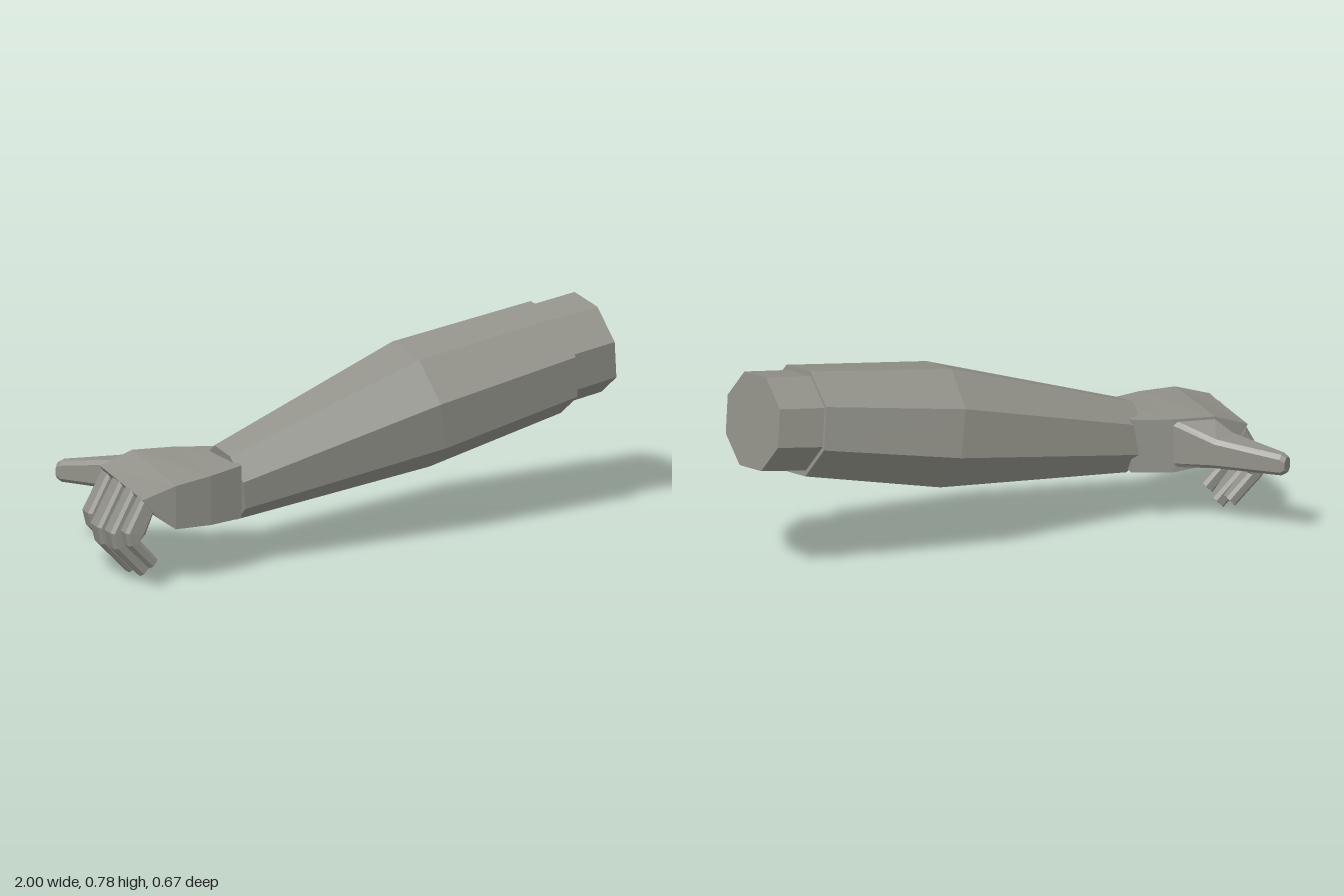
import * as THREE from 'three';

const grey = new THREE.MeshStandardMaterial({ color: 0x92928a, flatShading: true });
grey.name = 'warm grey';

// Closed faceted solid through rings of [x, y, z] points, capped at both ends
function loft(name, rings) {
  const tris = [];
  const n = rings[0].length;
  for (let i = 0; i < rings.length - 1; i++) {
    for (let j = 0; j < n; j++) {
      const k = (j + 1) % n;
      const a = rings[i][j], b = rings[i][k], c = rings[i + 1][k], d = rings[i + 1][j];
      tris.push([a, b, c], [a, c, d]);
    }
  }
  const last = rings[rings.length - 1];
  for (let j = 1; j < n - 1; j++) {
    tris.push([rings[0][0], rings[0][j + 1], rings[0][j]]);
    tris.push([last[0], last[j], last[j + 1]]);
  }
  // Turn all faces outward using the sign of the enclosed volume
  const v = (p) => new THREE.Vector3(...p);
  let volume = 0;
  for (const [a, b, c] of tris) volume += v(a).dot(v(b).cross(v(c)));
  if (volume < 0) tris.forEach((t) => t.reverse());
  const geometry = new THREE.BufferGeometry();
  geometry.setAttribute('position', new THREE.Float32BufferAttribute(tris.flat(2), 3));
  geometry.computeVertexNormals();
  const mesh = new THREE.Mesh(geometry, grey);
  mesh.name = name;
  return mesh;
}

// Regular octagon in y and z, lying on the slanted plane x = k - a*y + b*z
function octagon(cy, cz, r, k, a, b) {
  return Array.from({ length: 8 }, (_, i) => {
    const t = THREE.MathUtils.degToRad(14 + i * 45);
    const y = cy + r * Math.sin(t), z = cz + r * Math.cos(t);
    return [k - a * y + b * z, y, z];
  });
}

// Cuts the four corners of a quad, giving an eight-sided section
function chamfer(quad, cut) {
  const toward = (p, q) => {
    const from = new THREE.Vector3(...p), to = new THREE.Vector3(...q);
    const step = Math.min(cut, from.distanceTo(to) * 0.3);
    return from.add(to.sub(from).setLength(step)).toArray();
  };
  return quad.flatMap((p, i) => [toward(p, quad[(i + 3) % 4]), toward(p, quad[(i + 1) % 4])]);
}

// Curled finger; the side profile is scaled about the knuckle
function finger(name, z, width, size) {
  const profile = [ // outer x, y, inner x, y, width factor
    [-0.915, 0.345, -0.86, 0.265, 0.95],
    [-1.0, 0.185, -0.9, 0.17, 1],
    [-0.985, 0.12, -0.925, 0.14, 0.95],
    [-0.872, 0.0, -0.835, 0.04, 0.65],
  ];
  const sx = (x) => -0.9 + (x + 0.9) * size;
  const sy = (y) => 0.33 + (y - 0.33) * size;
  return loft(name, profile.map(([ox, oy, ix, iy, w]) => {
    const h = width * w / 2;
    return chamfer([
      [sx(ox), sy(oy), z - h], [sx(ox), sy(oy), z + h],
      [sx(ix), sy(iy), z + h], [sx(ix), sy(iy), z - h],
    ], 0.012);
  }));
}

export function createModel() {
  const arm = new THREE.Group();
  arm.name = 'arm';

  // Forearm shell, widest in the middle, and the narrower stub at the elbow
  arm.add(loft('forearm', [
    octagon(0.3, 0.123, 0.136, -0.477, 0.18, 0.15),
    octagon(0.475, 0.015, 0.229, 0.33, 0.18, 0.15),
    octagon(0.575, -0.033, 0.204, 0.873, 0.14, 0.2),
  ]));
  arm.add(loft('elbowStub', [
    octagon(0.572, -0.036, 0.184, 0.82, 0.14, 0.2),
    octagon(0.604, -0.06, 0.182, 1.056, 0.14, 0.2),
  ]));

  const hand = new THREE.Group();
  hand.name = 'hand';
  arm.add(hand);

  // Palm: top x, bottom x, back z, front z, then bottom and top y at back and front
  const palm = [
    [-0.5, -0.5, 0, 0.245, 0.2, 0.2, 0.4, 0.395],
    [-0.64, -0.64, -0.05, 0.3, 0.2, 0.205, 0.4, 0.387],
    [-0.79, -0.79, -0.07, 0.333, 0.22, 0.215, 0.4, 0.375],
    [-0.915, -0.86, -0.07, 0.328, 0.27, 0.265, 0.355, 0.335],
  ];
  hand.add(loft('palm', palm.map(([xt, xb, z0, z1, b0, b1, t0, t1]) => [
    [xb, b0, z0], [xb, b1, z1], [xt, t1, z1], [xt, t0, z0],
  ])));

  // Thumb: x, z of the outer and inner edge, then bottom and top y
  const thumb = [
    [-0.6, -0.01, -0.8, -0.04, 0.215, 0.395],
    [-0.645, -0.055, -0.805, -0.07, 0.22, 0.39],
    [-0.745, -0.18, -0.85, -0.12, 0.243, 0.352],
    [-0.94, -0.325, -0.98, -0.285, 0.24, 0.318],
    [-0.955, -0.335, -0.99, -0.3, 0.25, 0.307],
  ];
  hand.add(loft('thumb', thumb.map(([xo, zo, xi, zi, y0, y1]) => chamfer([
    [xo, y0, zo], [xi, y0, zi], [xi, y1, zi], [xo, y1, zo],
  ], 0.015))));

  // Four fingers
  hand.add(finger('indexFinger', -0.033, 0.076, 0.87));
  hand.add(finger('middleFinger', 0.08, 0.086, 1));
  hand.add(finger('ringFinger', 0.193, 0.078, 0.95));
  hand.add(finger('littleFinger', 0.295, 0.066, 0.78));

  return arm;
}
